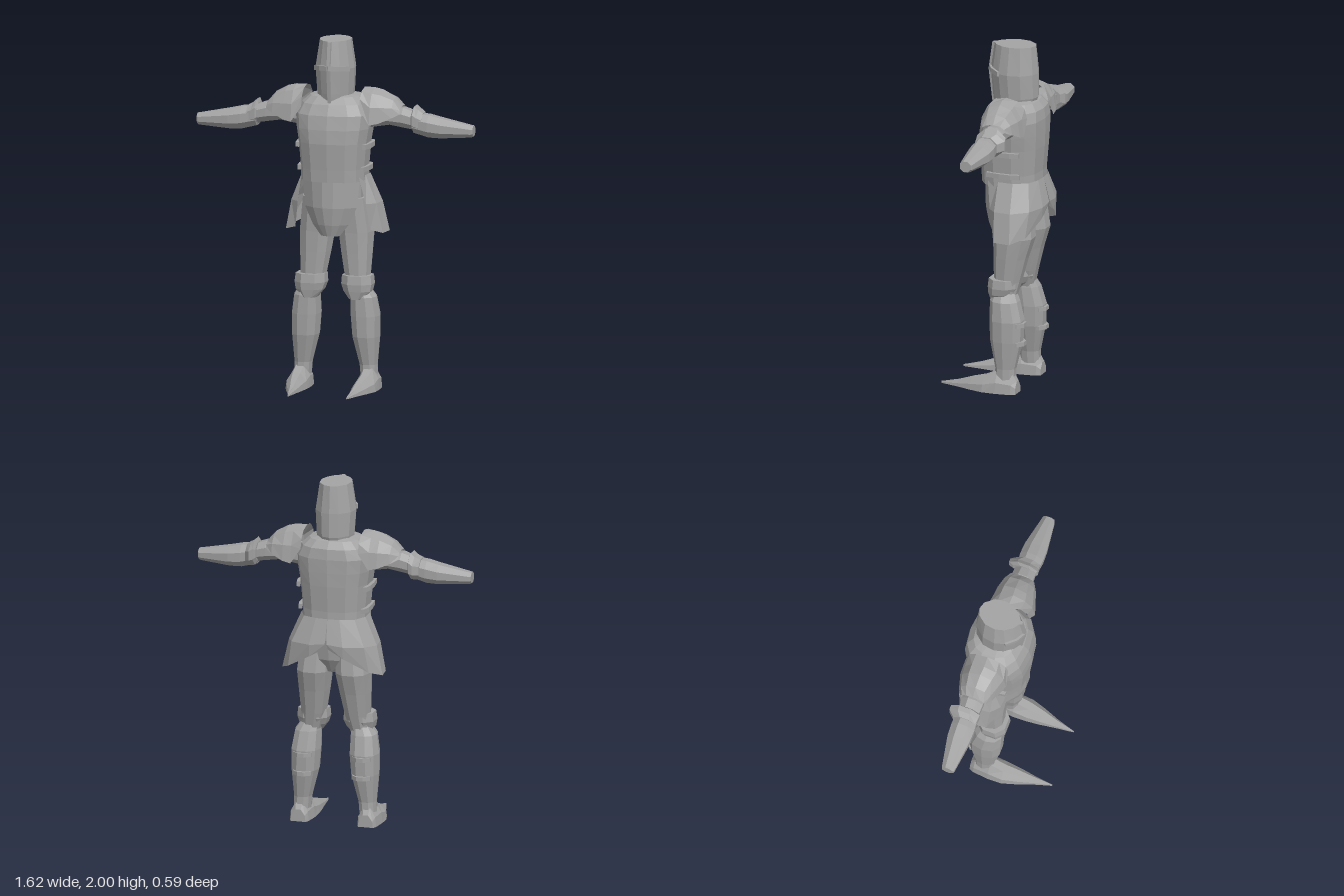
import * as THREE from 'three';

const steel = new THREE.MeshStandardMaterial({ color: 0xa3a3a3, flatShading: true, side: THREE.DoubleSide });
steel.name = 'steel grey';

// Skin a list of equal-length point rows; closed rows get end caps. Faces are turned outwards.
function loft(name, rows, closed = true) {
  const n = rows[0].length, pts = rows.flat(), idx = [];
  const cols = closed ? n : n - 1;
  for (let i = 0; i < rows.length - 1; i++)
    for (let j = 0; j < cols; j++) {
      const a = i * n + j, b = i * n + (j + 1) % n;
      idx.push(a, b, a + n, b, b + n, a + n);
    }
  if (closed) {
    const last = (rows.length - 1) * n;
    for (let j = 1; j < n - 1; j++) idx.push(0, j + 1, j, last, last + j, last + j + 1);
  }
  const mid = new THREE.Vector3();
  const v = pts.map(p => new THREE.Vector3(...p));
  v.forEach(p => mid.addScaledVector(p, 1 / v.length));
  v.forEach(p => p.sub(mid));
  let volume = 0;
  for (let i = 0; i < idx.length; i += 3)
    volume += v[idx[i]].dot(new THREE.Vector3().crossVectors(v[idx[i + 1]], v[idx[i + 2]]));
  if (volume < 0) idx.reverse();
  let geo = new THREE.BufferGeometry();
  geo.setAttribute('position', new THREE.Float32BufferAttribute(pts.flat(), 3));
  geo.setIndex(idx);
  geo = geo.toNonIndexed();
  geo.computeVertexNormals();
  const mesh = new THREE.Mesh(geo, steel);
  mesh.name = name;
  return mesh;
}

const pow = (v, e) => Math.sign(v) * Math.abs(v) ** e;

// Horizontal ring; e below 1 makes it boxier
function ringY([y, cx, cz, rx, rz], n = 8, e = 0.9, turn = 0) {
  return Array.from({ length: n }, (_, i) => {
    const a = (i + turn) / n * Math.PI * 2;
    return [cx + rx * pow(Math.sin(a), e), y, cz + rz * pow(Math.cos(a), e)];
  });
}

// Upright ring around the arm axis
function ringX(s, [x, cy, cz, ry, rz], n = 8) {
  return Array.from({ length: n }, (_, i) => {
    const a = (i + 0.5) / n * Math.PI * 2;
    return [s * x, cy + ry * Math.sin(a) * 1.06, cz + rz * Math.cos(a) * 1.06];
  });
}

function makeHelmet() {
  const g = new THREE.Group();
  g.name = 'helmet';
  const half = [[0, 0], [0.5, 0.12], [0.86, 0.3], [1, 0.5], [0.9, 0.75], [0.45, 0.95]];
  const section = ([y, w, zf, zb]) => {
    const p = ([x, t]) => [x * w, y, zf + (zb - zf) * t];
    const back = [0, y, zb];
    const mirrored = half.slice(1).reverse().map(([x, t]) => p([-x, t]));
    return [...half.map(p), back, ...mirrored];
  };
  g.add(loft('helmetShell', [
    [1.64, 0.1, 0.045, -0.2], [1.7, 0.106, 0.055, -0.222], [1.84, 0.115, 0.068, -0.222], [2, 0.09, 0.045, -0.207],
  ].map(section)));
  // Raised cross on the face
  g.add(loft('visorRidge', [[1.65, 0.05], [1.84, 0.073], [2, 0.05]].map(([y, z]) =>
    [[-0.014, y, z - 0.03], [-0.009, y, z + 0.003], [0.009, y, z + 0.003], [0.014, y, z - 0.03]])));
  for (const s of [1, -1])
    g.add(loft('visorBar', [[0, 1.85, 0.077], [0.06, 1.848, 0.044], [0.105, 1.84, -0.012]].map(([x, y, z]) =>
      [[s * x, y - 0.014, z], [s * x, y + 0.014, z], [s * x * 0.85, y + 0.014, z - 0.03], [s * x * 0.85, y - 0.014, z - 0.03]])));
  return g;
}

function makeTorso() {
  const g = new THREE.Group();
  g.name = 'torso';
  g.add(loft('cuirass', [
    [1.2, 0, -0.078, 0.188, 0.172], [1.27, 0, -0.076, 0.189, 0.174], [1.42, 0, -0.076, 0.202, 0.186],
    [1.5, 0, -0.08, 0.215, 0.185], [1.58, 0, -0.088, 0.222, 0.178], [1.64, 0, -0.098, 0.19, 0.16],
    [1.68, 0, -0.1, 0.145, 0.125], [1.69, 0, -0.095, 0.1, 0.1],
  ].map(r => ringY(r, 14, 0.78))));
  g.add(loft('hips', [
    [1.23, 0, -0.085, 0.168, 0.15], [1.1, 0, -0.1, 0.17, 0.15], [0.98, 0, -0.11, 0.15, 0.12], [0.9, 0, -0.11, 0.05, 0.07],
  ].map(r => ringY(r, 10, 0.8))));
  // Front skirt plate
  g.add(loft('frontSkirt', [
    [1.21, 0.168, 0.087], [1.05, 0.152, 0.088], [0.95, 0.105, 0.072], [0.885, 0.055, 0.052],
  ].map(([y, w, z]) => [-1, -0.6, -0.2, 0.2, 0.6, 1].map(t => [t * w, y, z - 0.085 * t * t * (w / 0.168)])), false));
  return g;
}

function makeArm(s) {
  const g = new THREE.Group();
  g.name = s > 0 ? 'leftArm' : 'rightArm';
  // Shoulder plate: a row of arches
  g.add(loft('shoulderPlate', [
    [0.17, 1.73, 1.62, 0.03, -0.22], [0.23, 1.73, 1.53, 0.04, -0.225], [0.28, 1.718, 1.54, 0.025, -0.22],
    [0.35, 1.68, 1.57, 0.0, -0.2], [0.392, 1.632, 1.59, -0.025, -0.175],
  ].map(([x, top, low, zf, zb]) => Array.from({ length: 7 }, (_, i) => {
    const a = i / 6 * Math.PI;
    return [s * x, low + (top - low) * Math.sin(a), (zf + zb) / 2 + (zf - zb) / 2 * pow(Math.cos(a), 0.85)];
  })), false));
  const part = (name, list) => g.add(loft(name, list.map(r => ringX(s, r))));
  part('upperArm', [[0.17, 1.56, -0.1, 0.065, 0.075], [0.32, 1.567, -0.1, 0.047, 0.065], [0.4, 1.565, -0.1, 0.058, 0.065], [0.47, 1.548, -0.1, 0.052, 0.06]]);
  part('elbowGuard', [[0.452, 1.555, -0.11, 0.055, 0.07], [0.462, 1.557, -0.118, 0.076, 0.088], [0.485, 1.545, -0.12, 0.067, 0.088], [0.515, 1.535, -0.105, 0.06, 0.068]]);
  part('forearm', [[0.46, 1.538, -0.1, 0.058, 0.062], [0.55, 1.522, -0.1, 0.065, 0.07], [0.62, 1.513, -0.1, 0.058, 0.067], [0.8, 1.502, -0.094, 0.034, 0.038], [0.81, 1.504, -0.094, 0.031, 0.034]]);
  // Straps closing the cuirass below the arm
  for (const y of [1.27, 1.4])
    g.add(loft('sideStrap', [0.02, -0.06, -0.13, -0.18].map((z, i) => {
      const x = (i % 3 ? 0.206 : 0.194) + (y - 1.27) * 0.09;
      return [[s * x, y - 0.014, z], [s * x, y + 0.014, z], [s * (x - 0.02), y + 0.014, z], [s * (x - 0.02), y - 0.014, z]];
    })));
  return g;
}

function makeLeg(s) {
  const g = new THREE.Group();
  g.name = s > 0 ? 'leftLeg' : 'rightLeg';
  const part = (name, list, n, turn) => g.add(loft(name, list.map(([y, cx, ...r]) => ringY([y, s * cx, ...r], n, 0.88, turn))));
  part('thigh', [[1.1, 0.1, -0.1, 0.09, 0.12], [0.9, 0.114, -0.122, 0.102, 0.122], [0.78, 0.121, -0.106, 0.091, 0.1], [0.64, 0.13, -0.09, 0.074, 0.08], [0.54, 0.145, -0.08, 0.06, 0.065]], 10, 0.5);
  part('kneeGuard', [[0.655, 0.136, -0.07, 0.09, 0.086], [0.605, 0.137, -0.068, 0.095, 0.09], [0.565, 0.14, -0.06, 0.084, 0.078], [0.52, 0.138, -0.045, 0.045, 0.055]], 8, 0.5);
  part('calf', [[0.58, 0.15, -0.08, 0.055, 0.065], [0.53, 0.165, -0.085, 0.076, 0.085], [0.42, 0.173, -0.1, 0.085, 0.1], [0.3, 0.177, -0.1, 0.079, 0.095], [0.14, 0.191, -0.1, 0.052, 0.06], [0.07, 0.195, -0.1, 0.05, 0.06]], 10, 0.5);
  for (const y of [0.29, 0.4])
    g.add(loft('calfStrap', [-0.055, -0.02, 0.02, 0.055].map((x, i) => {
      const px = s * 0.175 + x, z = i % 3 ? -0.21 : -0.18;
      return [[px, y - 0.012, z], [px, y + 0.012, z], [px, y + 0.012, z + 0.03], [px, y - 0.012, z + 0.03]];
    })));
  // Pointed shoe
  g.add(loft('shoe', [
    [-0.175, 0.2, 0.045, 0.07], [-0.15, 0.2, 0.056, 0.11], [-0.06, 0.2, 0.065, 0.125], [0.02, 0.2, 0.064, 0.088],
    [0.1, 0.192, 0.048, 0.066], [0.19, 0.182, 0.025, 0.036], [0.297, 0.172, 0.003, 0.011],
  ].map(([z, cx, w, h]) => [[-1, 0], [1, 0], [0.9, 0.5], [0.35, 1], [-0.35, 1], [-0.9, 0.5]]
    .map(([u, v]) => [s * cx + u * w, v * h, z]))));
  // Side skirt plate, wrapping from the hip to the middle of the back
  const top = [[0.165, 0.02], [0.187, -0.05], [0.19, -0.14], [0.15, -0.22], [0.07, -0.25], [0, -0.255]];
  const middle = [[0.2, -0.005, 1.07], [0.25, -0.05, 1.07], [0.26, -0.15, 1.07], [0.215, -0.25, 1.08], [0.1, -0.288, 1.08], [0.005, -0.29, 1.09]];
  const bottom = [[0.22, -0.03, 0.92], [0.285, -0.06, 0.9], [0.298, -0.16, 0.9], [0.24, -0.235, 0.93], [0.1, -0.28, 1.01], [0.012, -0.282, 1.06]];
  g.add(loft('sideSkirt', [top.map(([x, z]) => [s * x, 1.23, z]), ...[middle, bottom].map(row => row.map(([x, z, y]) => [s * x, y, z]))], false));
  return g;
}

export function createModel() {
  const model = new THREE.Group();
  model.name = 'armouredFigure';
  model.add(makeHelmet(), makeTorso());
  for (const s of [1, -1]) model.add(makeArm(s), makeLeg(s));
  return model;
}
